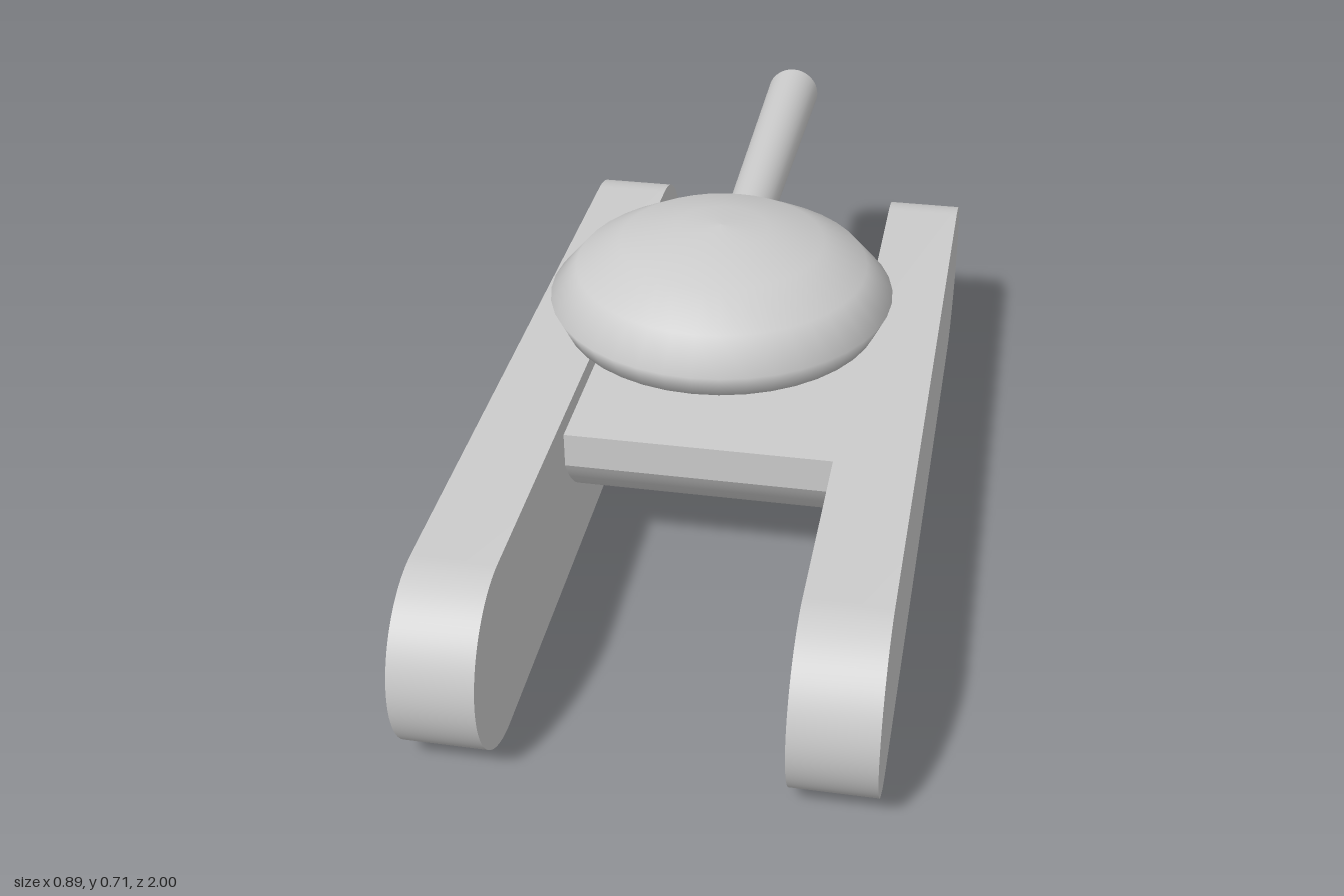
import * as THREE from 'three';
import { toCreasedNormals } from 'three/addons/utils/BufferGeometryUtils.js';

const material = new THREE.MeshStandardMaterial({ color: 0xcccccc });

function addMesh(group, name, geometry) {
  const mesh = new THREE.Mesh(geometry, material);
  mesh.name = name;
  group.add(mesh);
  return mesh;
}

// Extrudes a side profile drawn in (z, y) across x, centred on x = 0.
function extrudeAcross(shape, width) {
  const geometry = new THREE.ExtrudeGeometry(shape, { depth: width, bevelEnabled: false, curveSegments: 24 });
  geometry.translate(0, 0, -width / 2);
  geometry.rotateY(-Math.PI / 2);
  return toCreasedNormals(geometry, 0.4);
}

export function createModel() {
  const group = new THREE.Group();
  group.name = 'hoverTank';

  // Side pods: long capsules standing on the ground
  const r = 0.192, front = 1.0 - r, back = -0.91 + r;
  const pod = new THREE.Shape();
  pod.moveTo(back, 0);
  pod.lineTo(front, 0);
  pod.absarc(front, r, r, -Math.PI / 2, Math.PI / 2, false);
  pod.lineTo(back, 2 * r);
  pod.absarc(back, r, r, Math.PI / 2, Math.PI * 1.5, false);
  const podGeometry = extrudeAcross(pod, 0.165);
  for (const side of [1, -1]) {
    addMesh(group, side > 0 ? 'leftPod' : 'rightPod', podGeometry).position.x = side * 0.3625;
  }

  // Hull: flat deck, short upright ends and a curved belly
  const radius = 0.316, middle = 0.04, half = 0.28;
  const angle = Math.asin(half / radius);
  const hull = new THREE.Shape();
  hull.moveTo(middle + half, 0.27);
  hull.lineTo(middle + half, 0.345);
  hull.lineTo(middle - half, 0.345);
  hull.lineTo(middle - half, 0.27);
  hull.absarc(middle, 0.1 + radius, radius, -Math.PI / 2 - angle, -Math.PI / 2 + angle, false);
  addMesh(group, 'hull', extrudeAcross(hull, 0.56));

  // Turret: lens-shaped body floating above the deck
  const profile = [
    [0, 0.436], [0.1, 0.443], [0.232, 0.468], [0.33, 0.51], [0.355, 0.562],
    [0.3, 0.627], [0.21, 0.678], [0.095, 0.706], [0, 0.713],
  ].map(([x, y]) => new THREE.Vector2(x, y));
  addMesh(group, 'turret', new THREE.LatheGeometry(profile, 40)).position.z = 0.045;

  // Barrel: widens slightly towards the muzzle
  const barrel = new THREE.CylinderGeometry(0.062, 0.05, 0.8, 32);
  barrel.rotateX(-Math.PI / 2);
  addMesh(group, 'barrel', barrel).position.set(0, 0.553, -0.6);

  return group;
}
